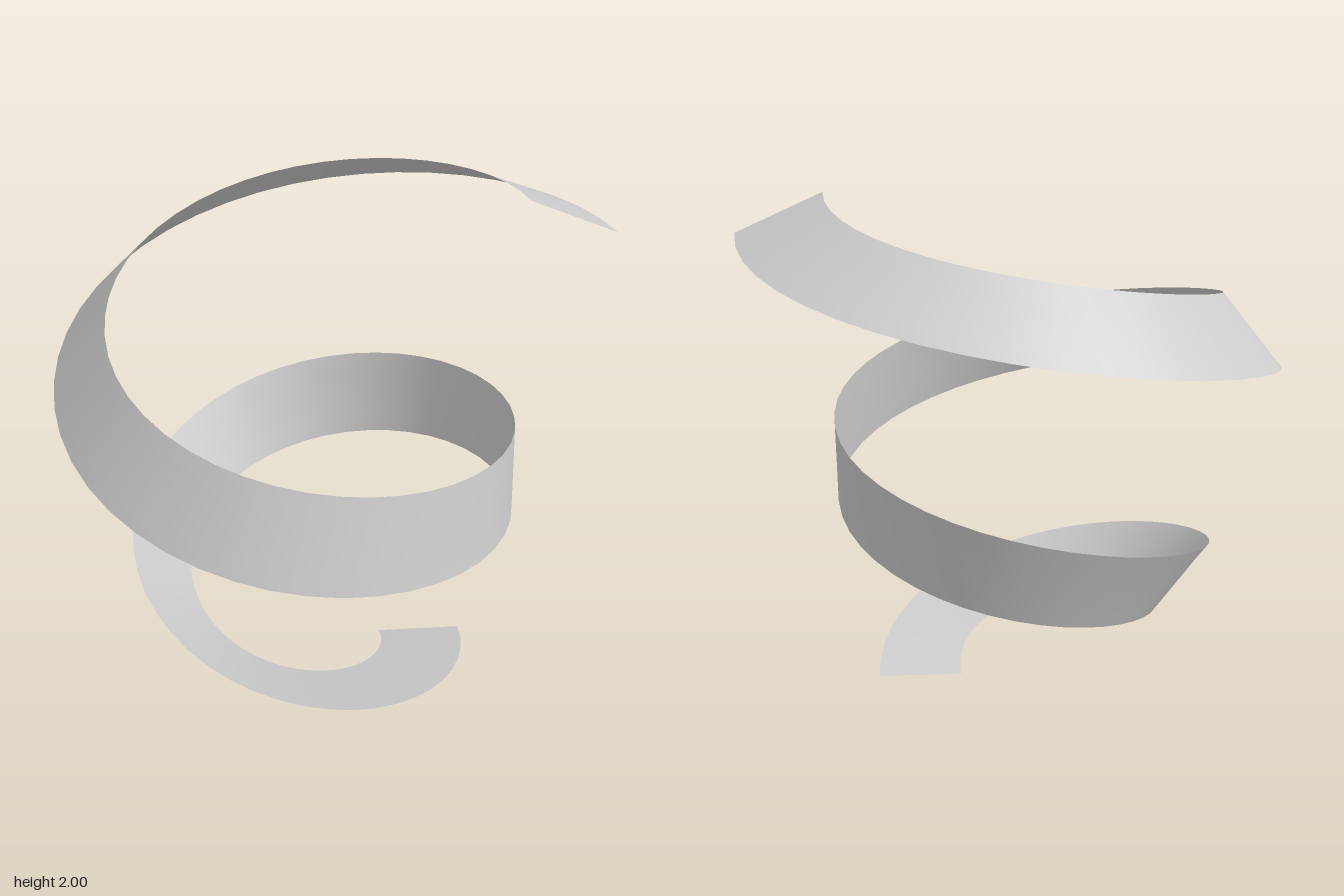
import * as THREE from 'three';

const SEGMENTS = 90;
const ROWS = 4;
const CENTRE = { x: -0.08, z: 0.09 };

// Edge profiles as [radius, height], one pair per quarter turn
const EDGE_A = [[0.28, 0], [0.36, 0.17], [0.49, 0.345], [0.63, 0.55], [0.75, 0.8],
  [0.84, 1.06], [0.92, 1.33], [1.01, 1.6], [1.07, 1.86]];
const EDGE_B = [[0.62, 0], [0.67, 0.31], [0.71, 0.61], [0.74, 0.9], [0.75, 1.16],
  [0.73, 1.4], [0.71, 1.61], [0.74, 1.81], [0.75, 2]];

const edgeCurve = (pairs) => new THREE.CatmullRomCurve3(
  pairs.map(([r, y]) => new THREE.Vector3(r, y, 0)), false, 'catmullrom');

export function createModel() {
  const group = new THREE.Group();
  group.name = 'spiralRibbon';

  const a = edgeCurve(EDGE_A);
  const b = edgeCurve(EDGE_B);

  // A flat grid bent along two turns, slowly twisting as it climbs
  const geometry = new THREE.PlaneGeometry(1, 1, SEGMENTS, ROWS);
  const pos = geometry.attributes.position;
  const uv = geometry.attributes.uv;
  for (let i = 0; i < pos.count; i++) {
    const t = uv.getX(i);
    const angle = THREE.MathUtils.degToRad(THREE.MathUtils.lerp(1, 718, t));
    const p = a.getPoint(t).lerp(b.getPoint(t), uv.getY(i));
    pos.setXYZ(i, CENTRE.x + p.x * Math.cos(angle), p.y, CENTRE.z + p.x * Math.sin(angle));
  }
  geometry.computeVertexNormals();

  const ribbon = new THREE.Mesh(geometry,
    new THREE.MeshStandardMaterial({ color: 0xcccccc, side: THREE.DoubleSide }));
  ribbon.name = 'ribbon';
  group.add(ribbon);
  return group;
}
